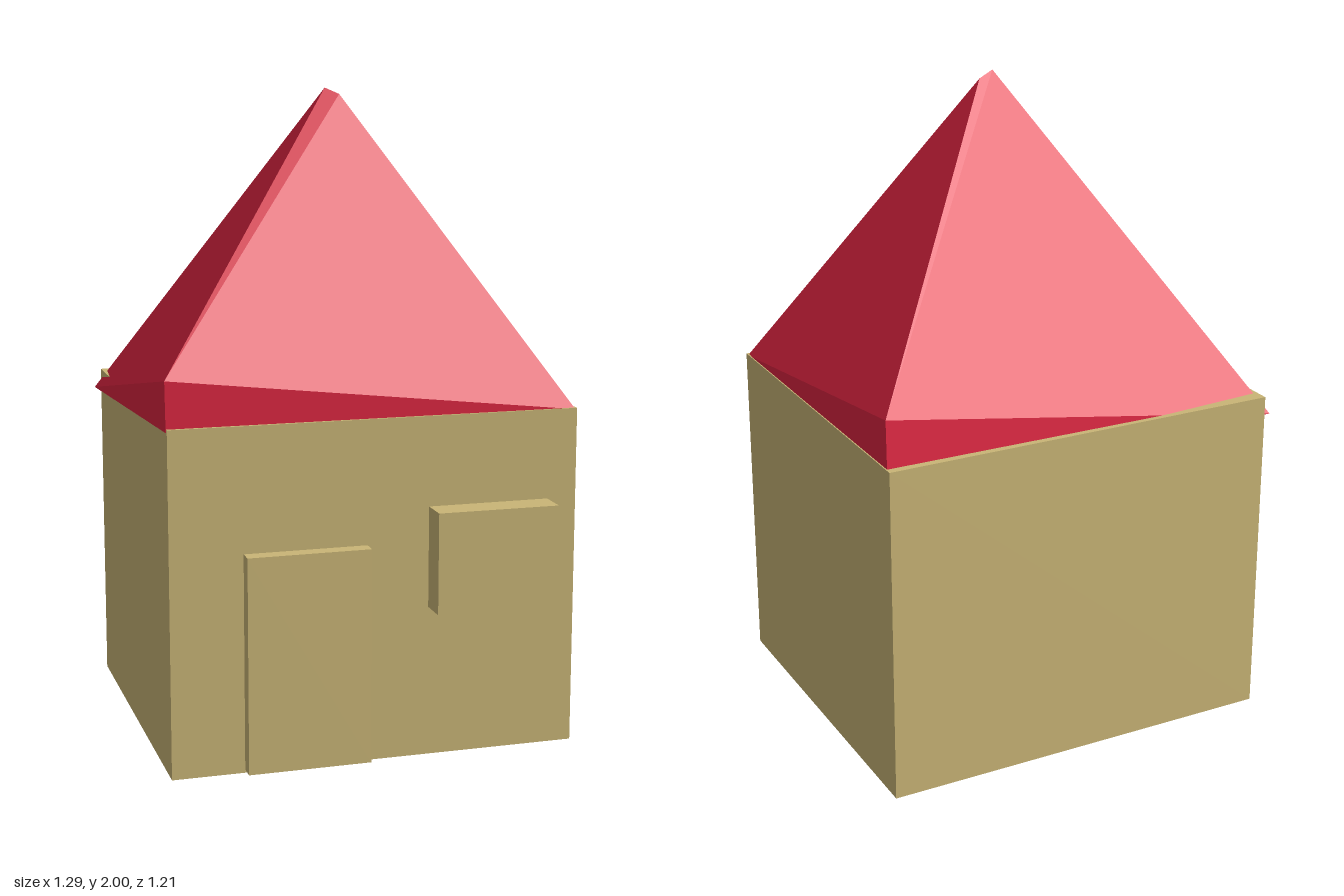
import * as THREE from 'three';

const stone = new THREE.MeshStandardMaterial({ color: 0xc9b576 });
stone.name = 'sandstone';
const red = new THREE.MeshStandardMaterial({ color: 0xdc2440 });
red.name = 'roofRed';

// Vertical prism from a four-corner plan [x, z], given front-left, front-right, back-right, back-left
function prism(name, plan, y0, y1) {
  const shape = new THREE.Shape(plan.map(([x, z]) => new THREE.Vector2(x, -z)));
  const geometry = new THREE.ExtrudeGeometry(shape, { depth: y1 - y0, bevelEnabled: false });
  geometry.rotateX(-Math.PI / 2).translate(0, y0, 0);
  const mesh = new THREE.Mesh(geometry, stone);
  mesh.name = name;
  return mesh;
}

// Skewed hipped roof: two close peaks, two raised eave corners, a slightly tilted base
function buildRoof() {
  const peakA = [-0.02, 2.0, 0.05], peakB = [0.03, 1.98, 0.037];
  const frontA = [-0.62, 1.19, 0.507], frontALow = [-0.618, 1.04, 0.507];
  const frontB = [0.642, 1.045, 0.5];
  const backB = [0.628, 1.19, -0.563], backBLow = [0.637, 0.99, -0.588];
  const backA = [-0.65, 0.99, -0.59];
  const faces = [
    // Main slopes
    [peakB, frontA, frontB], [peakB, frontB, backB],
    [peakA, backB, backA], [peakA, backA, frontA],
    // Narrow strips joining the two peaks
    [frontA, peakB, peakA], [backB, peakA, peakB],
    // Steep skirts under the raised corners
    [frontA, frontALow, frontB], [frontB, backBLow, backB],
    [backB, backBLow, backA], [backA, frontALow, frontA],
    // Underside
    [frontALow, backA, backBLow], [frontALow, backBLow, frontB],
  ];
  const geometry = new THREE.BufferGeometry();
  geometry.setAttribute('position', new THREE.Float32BufferAttribute(faces.flat(2), 3));
  geometry.computeVertexNormals();
  const mesh = new THREE.Mesh(geometry, red);
  mesh.name = 'roof';
  return mesh;
}

export function createModel() {
  const house = new THREE.Group();
  house.name = 'house';
  house.add(
    prism('walls', [[-0.617, 0.518], [0.645, 0.506], [0.638, -0.605], [-0.627, -0.596]], 0, 1.05),
    prism('door', [[-0.395, 0.565], [-0.017, 0.56], [-0.017, 0.45], [-0.395, 0.45]], 0.01, 0.67),
    prism('window', [[0.175, 0.603], [0.553, 0.602], [0.553, 0.45], [0.175, 0.45]], 0.465, 0.775),
    buildRoof(),
  );
  return house;
}
